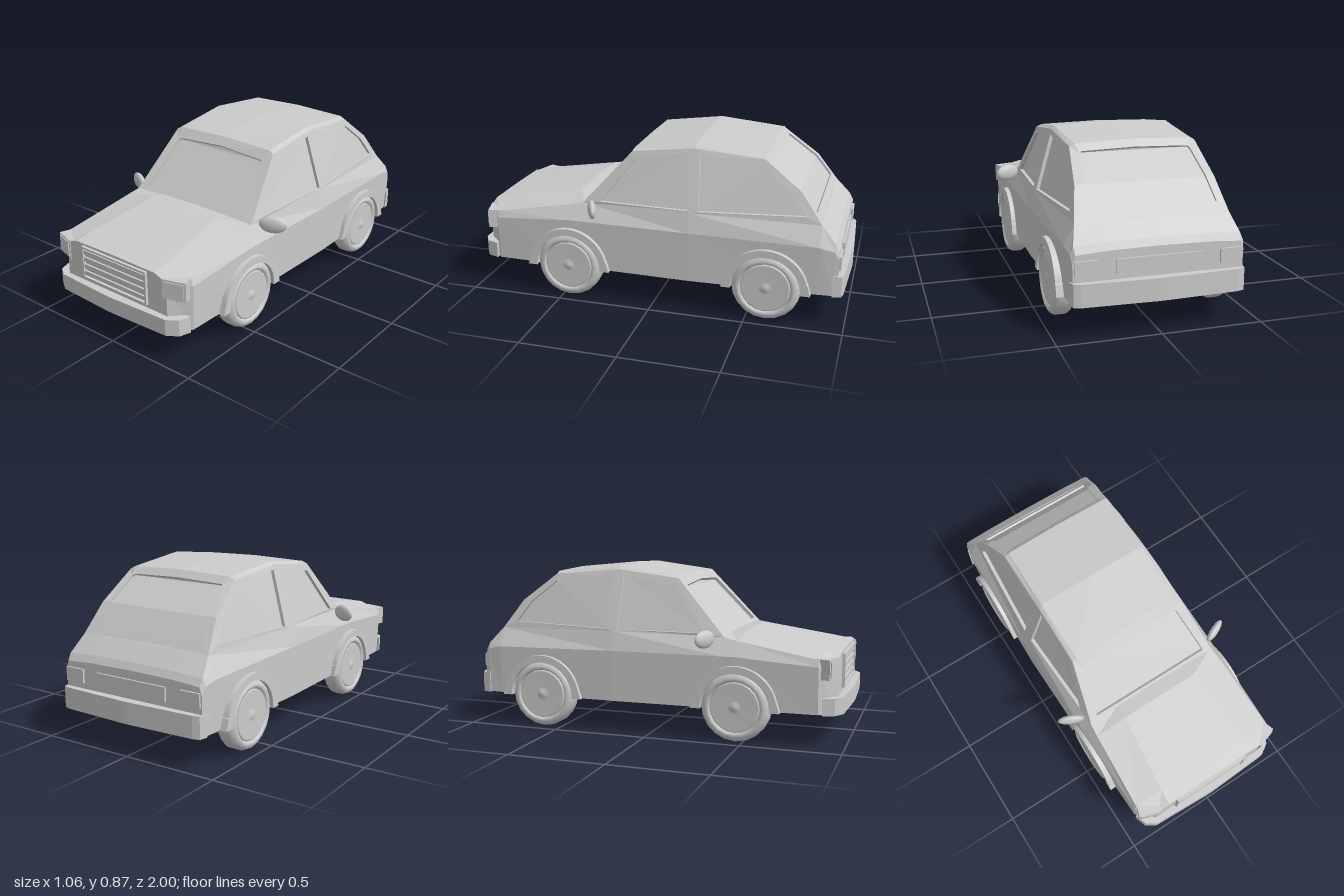
import * as THREE from 'three';

const flat = new THREE.MeshStandardMaterial({ color: 0xcccccc, flatShading: true, side: THREE.DoubleSide });
const smooth = new THREE.MeshStandardMaterial({ color: 0xcccccc });

const flipX = ([x, y, z]) => [-x, y, z];
// Half outline ending on the centre line -> full symmetric outline
const sym = half => [...half, ...half.slice(0, -1).reverse().map(flipX)];

function add(parent, name, geometry, material = flat, pos = [0, 0, 0]) {
  const mesh = new THREE.Mesh(geometry, material);
  mesh.name = name;
  mesh.position.set(...pos);
  parent.add(mesh);
  return mesh;
}

// Faceted surface through rows of points
function skin(...grids) {
  const v = [];
  for (const rows of grids)
    for (let i = 0; i < rows.length - 1; i++)
      for (let j = 0; j < rows[i].length - 1; j++) {
        const a = rows[i][j], b = rows[i][j + 1], c = rows[i + 1][j + 1], d = rows[i + 1][j];
        v.push(...a, ...b, ...c, ...a, ...c, ...d);
      }
  const g = new THREE.BufferGeometry();
  g.setAttribute('position', new THREE.Float32BufferAttribute(v, 3));
  g.computeVertexNormals();
  return g;
}

// Frame with a recessed pane; loops run counter-clockwise seen from outside
function windowPanel(parent, name, outer, inner, recess) {
  const deep = inner.map(p => p.map((c, k) => c + recess[k]));
  const closed = [outer, inner, deep].map(l => [...l, l[0]]);
  add(parent, name + 'Frame', skin(closed));
  const h = Math.ceil(deep.length / 2);
  add(parent, name + 'Glass', skin([deep.slice(0, h), [...deep].reverse().slice(0, h)]));
}

// Cabin side: leans inwards with height and bows along the length
const sideX = (z, y) => 0.42 - 0.1 * (z + 0.2) ** 2 - (y - 0.53) * 0.3;
const onSide = ([z, y]) => [sideX(z, y), y, z];

function buildBody(car) {
  // z, sill width, shoulder width, shoulder y, belt width, belt y, panel width, panel y
  const sections = [
    [-0.955, 0.41, 0.415, 0.36, 0.40, 0.40, 0.25, 0.41],
    [-0.935, 0.415, 0.42, 0.40, 0.405, 0.435, 0.25, 0.445],
    [-0.86, 0.42, 0.43, 0.42, sideX(-0.86, 0.52), 0.52, 0.25, 0.525],
    [-0.2, 0.44, 0.445, 0.43, sideX(-0.2, 0.53), 0.53, 0.25, 0.53],
    [0.38, 0.43, 0.435, 0.43, sideX(0.39, 0.52), 0.52, 0.215, 0.525],
    [0.46, 0.43, 0.435, 0.43, 0.395, 0.505, 0.22, 0.533],
    [0.87, 0.42, 0.428, 0.40, 0.415, 0.435, 0.262, 0.466],
    [0.955, 0.34, 0.335, 0.40, 0.325, 0.43, 0.265, 0.452],
  ];
  const halves = sections.map(([z, wb, ws, ys, wt, yt, wp, yp]) =>
    [[0, 0.165, z], [wb, 0.165, z], [ws, ys, z], [wt, yt, z], [wp, yp, z], [0, yp + 0.003, z]]);
  const back = halves[0], front = halves[halves.length - 1];
  add(car, 'lowerBody', skin(halves.map(sym),
    [back.map(flipX), back], [front, front.map(flipX)]));
}

function buildCabin(car) {
  // Shared corner points of the cabin, on the left side
  const aBase = onSide([0.39, 0.52]), aTop = onSide([0.13, 0.805]);
  const bTop = onSide([-0.2, 0.845]), bBase = onSide([-0.2, 0.53]);
  const cTop = onSide([-0.56, 0.815]), cMid = onSide([-0.75, 0.67]), cBase = onSide([-0.86, 0.52]);
  const roofFront = [aTop, [0.3, 0.818, 0.125], [0, 0.826, 0.12]];
  const roofBack = [cTop, [0.295, 0.828, -0.56], [0, 0.838, -0.56]];
  add(car, 'roof', skin([roofBack, [bTop, [0.306, 0.86, -0.2], [0, 0.873, -0.2]], roofFront].map(sym)));

  windowPanel(car, 'windscreen', sym([aBase, ...roofFront]),
    sym([[0.34, 0.54, 0.372], [0.285, 0.758, 0.172], [0.278, 0.77, 0.162], [0, 0.785, 0.156]]),
    [0, -0.012, -0.014]);
  windowPanel(car, 'rearWindow', sym([cBase, cMid, ...roofBack].map(flipX)),
    sym([[-0.33, 0.565, -0.828], [-0.305, 0.675, -0.746], [-0.28, 0.785, -0.604], [-0.27, 0.795, -0.592], [0, 0.803, -0.592]]),
    [0, -0.008, 0.008]);

  for (const side of [1, -1]) {
    const half = new THREE.Group();
    half.name = side > 0 ? 'leftCabinSide' : 'rightCabinSide';
    half.scale.x = side;
    windowPanel(half, 'frontDoorWindow', [aBase, bBase, bTop, aTop],
      [[0.29, 0.535], [-0.18, 0.54], [-0.17, 0.82], [0.11, 0.77]].map(onSide), [-0.018, 0, 0]);
    windowPanel(half, 'rearSideWindow', [bTop, bBase, cBase, cMid, cTop, bTop],
      [[-0.225, 0.82], [-0.245, 0.54], [-0.78, 0.555], [-0.7, 0.665], [-0.56, 0.775], [-0.3, 0.81]].map(onSide),
      [-0.018, 0, 0]);
    car.add(half);
  }
}

// Bumper: plan outline (x, z) extruded upwards
function bumper(car, name, half, height) {
  const pts = [...half, ...[...half].reverse().map(([x, z]) => [-x, z])];
  const shape = new THREE.Shape(pts.map(([x, z]) => new THREE.Vector2(x, -z)));
  const g = new THREE.ExtrudeGeometry(shape, { depth: height, bevelEnabled: false });
  add(car, name, g.rotateX(-Math.PI / 2), flat, [0, 0.163, 0]);
}

function buildFrontAndRear(car) {
  bumper(car, 'frontBumper', [[0.425, 0.89], [0.405, 0.95], [0.35, 0.985], [0.02, 1.0]], 0.085);
  bumper(car, 'rearBumper', [[0.425, -0.93], [0.415, -0.975], [0.38, -0.985], [0.02, -1.0]], 0.11);

  // Grille: surround with a row of slats
  const surround = new THREE.Shape([[-0.218, 0.268], [0.218, 0.268], [0.218, 0.442], [-0.218, 0.442]]
    .map(p => new THREE.Vector2(...p)));
  surround.holes.push(new THREE.Path([[-0.208, 0.278], [-0.208, 0.432], [0.208, 0.432], [0.208, 0.278]]
    .map(p => new THREE.Vector2(...p))));
  add(car, 'grilleSurround', new THREE.ExtrudeGeometry(surround, { depth: 0.02, bevelEnabled: false }), flat, [0, 0, 0.95]);
  for (let i = 0; i < 4; i++)
    add(car, 'grilleSlat', new THREE.BoxGeometry(0.42, 0.022, 0.014), flat, [0, 0.298 + i * 0.038, 0.958]);

  add(car, 'numberPlate', new THREE.BoxGeometry(0.42, 0.07, 0.016), flat, [0, 0.335, -0.957]);
  for (const side of [1, -1]) {
    const lamp = add(car, 'headlight', new THREE.BoxGeometry(0.12, 0.1, 0.07), flat, [side * 0.362, 0.388, 0.908]);
    lamp.rotation.y = side * 0.3;
    const lens = add(lamp, 'headlightLens', new THREE.BoxGeometry(0.1, 0.08, 0.008), flat, [0, 0, 0.036]);
    lens.castShadow = false;
    add(car, 'tailLight', new THREE.BoxGeometry(0.11, 0.07, 0.03), flat, [side * 0.352, 0.338, -0.951]);
    const mirror = add(car, 'wingMirror', new THREE.SphereGeometry(1, 14, 10), smooth, [side * 0.464, 0.515, 0.31]);
    mirror.scale.set(0.072, 0.045, 0.022);
    mirror.rotation.y = side * 0.42;
  }
}

const lathe = pts => new THREE.LatheGeometry(pts.map(p => new THREE.Vector2(...p)), 20).rotateZ(-Math.PI / 2);

function buildWheel(car, side, z, name) {
  const wheel = new THREE.Group();
  wheel.name = name;
  wheel.position.set(side * 0.4, 0.178, z);
  wheel.rotation.y = side > 0 ? 0 : Math.PI;
  // Axis along x, outer face at +x
  add(wheel, 'tyre', lathe([[0, -0.052], [0.14, -0.052], [0.165, -0.042], [0.177, -0.025], [0.177, 0.025],
    [0.168, 0.044], [0.15, 0.055], [0.135, 0.053], [0.128, 0.04]]), smooth);
  add(wheel, 'hubcap', lathe([[0.13, 0.036], [0.128, 0.046], [0.12, 0.05], [0.035, 0.044], [0.025, 0.05], [0, 0.055]]), smooth);
  car.add(wheel);

  // Flared arch around the wheel, with a small foot at each end
  const arch = new THREE.Shape();
  arch.moveTo(0.228, -0.006);
  arch.lineTo(0.213, 0.05);
  arch.absarc(0, 0, 0.216, 0.25, Math.PI - 0.25, false);
  arch.lineTo(-0.228, -0.006);
  arch.lineTo(-0.178, -0.006);
  arch.absarc(0, 0, 0.178, Math.PI, 0, true);
  arch.lineTo(0.178, -0.006);
  const g = new THREE.ExtrudeGeometry(arch, { depth: 0.08, bevelEnabled: false, curveSegments: 14 });
  g.translate(0, 0, -0.04).rotateY(Math.PI / 2);
  add(car, 'wheelArch', g, flat, [side * 0.418, 0.17, z]);
}

export function createModel() {
  const car = new THREE.Group();
  car.name = 'car';
  buildBody(car);
  buildCabin(car);
  buildFrontAndRear(car);
  for (const side of [1, -1]) {
    buildWheel(car, side, 0.46, 'frontWheel');
    buildWheel(car, side, -0.6, 'rearWheel');
  }
  return car;
}
